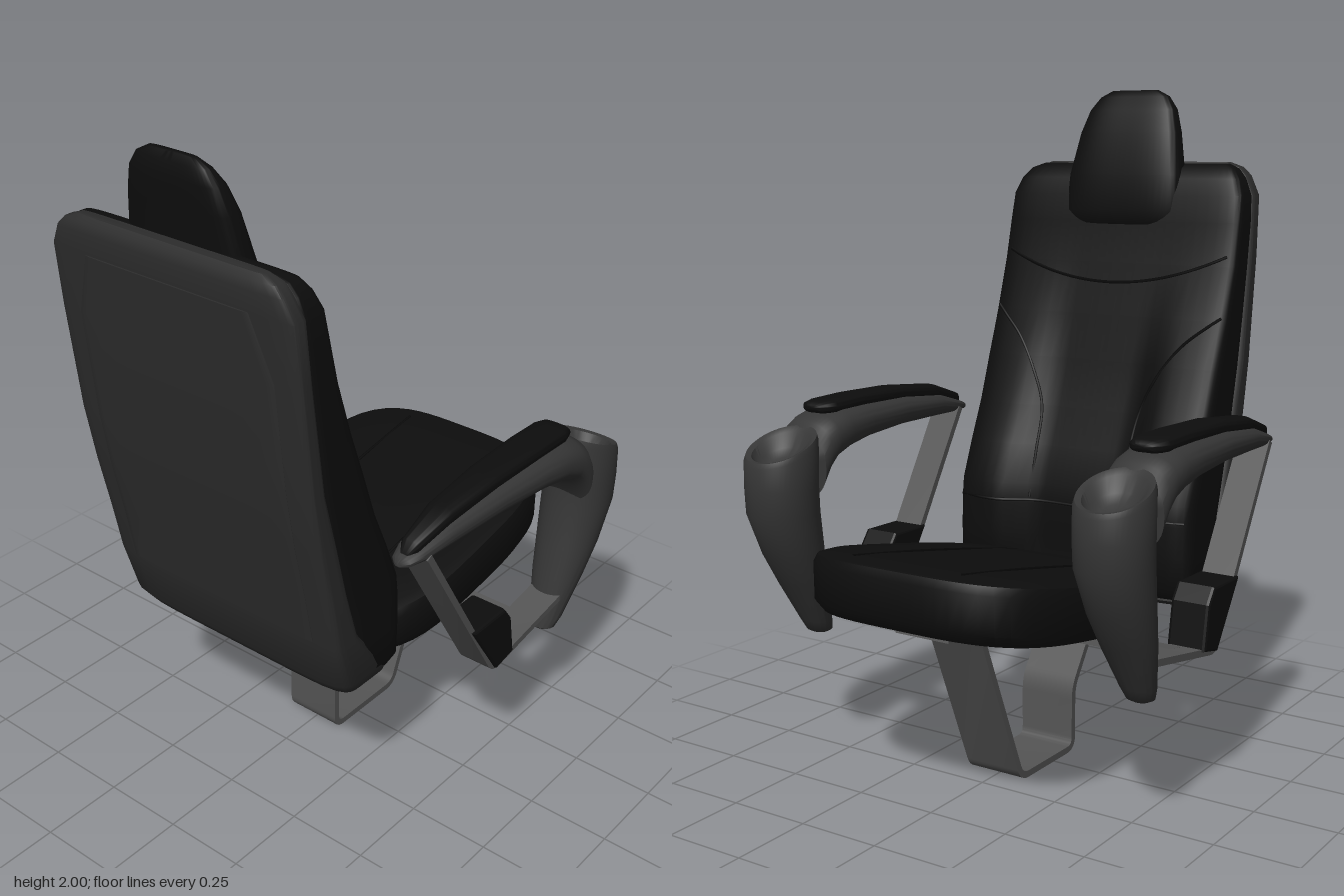
import * as THREE from 'three';
import { toCreasedNormals } from 'three/addons/utils/BufferGeometryUtils.js';

const mat = (color) => new THREE.MeshStandardMaterial({ color });
const fabric = mat(0x0d0d0d), seamMat = mat(0x060606), plastic = mat(0x363636);
const shellMat = mat(0x2c2c2c), metal = mat(0x555555);

// Hollow towards the middle of a section, between the side bolsters
const hollow = (z) => 1 - THREE.MathUtils.smoothstep(Math.abs(z), 0.13, 0.27);

// Skin of rounded sections. Station: [ax, ay, bx, by, half width in z, hollow depth]
function loft(stations, n = 2, seg = 64, crease = 0.7) {
  const pos = [], idx = [];
  stations.forEach(([ax, ay, bx, by, w, dip = 0]) => {
    for (let j = 0; j < seg; j++) {
      const t = (j / seg) * Math.PI * 2, c = Math.cos(t), s = Math.sin(t);
      const r = 1 / (Math.abs(c) ** n + Math.abs(s) ** n) ** (1 / n);
      const k = (1 + r * c) / 2, z = w * r * s;
      pos.push(ax + (bx - ax) * k - (c > 0 ? dip * hollow(z) : 0), ay + (by - ay) * k, z);
    }
  });
  const last = stations.length - 1;
  for (let i = 0; i < last; i++) {
    for (let j = 0; j < seg; j++) {
      const a = i * seg + j, b = i * seg + ((j + 1) % seg);
      idx.push(a, a + seg, b, b, a + seg, b + seg);
    }
  }
  // end caps
  [0, last].forEach((i) => {
    const [ax, ay, bx, by] = stations[i], m = pos.length / 3;
    pos.push((ax + bx) / 2, (ay + by) / 2, 0);
    for (let j = 0; j < seg; j++) {
      const a = i * seg + j, b = i * seg + ((j + 1) % seg);
      if (i) idx.push(m, b, a); else idx.push(m, a, b);
    }
  });
  const g = new THREE.BufferGeometry();
  g.setAttribute('position', new THREE.Float32BufferAttribute(pos, 3));
  g.setIndex(idx);
  return toCreasedNormals(g, crease);
}

// Flat bar bent along a side-view path, with rounded bends
function strap(points, width, thick = 0.02, bend = 0.035) {
  const p = points.map(([x, y]) => new THREE.Vector2(x, y)), path = [p[0]];
  for (let i = 1; i < p.length - 1; i++) {
    const before = p[i - 1].clone().sub(p[i]).setLength(bend).add(p[i]);
    const after = p[i + 1].clone().sub(p[i]).setLength(bend).add(p[i]);
    path.push(...new THREE.QuadraticBezierCurve(before, p[i], after).getPoints(6));
  }
  path.push(p[p.length - 1]);
  const side = (sign) => path.map((q, i) => {
    const d = path[Math.min(i + 1, path.length - 1)].clone().sub(path[Math.max(i - 1, 0)]).normalize();
    return new THREE.Vector2(q.x - d.y * sign * thick / 2, q.y + d.x * sign * thick / 2);
  });
  const shape = new THREE.Shape([...side(1), ...side(-1).reverse()]);
  const g = new THREE.ExtrudeGeometry(shape, { depth: width, bevelEnabled: false });
  return toCreasedNormals(g.translate(0, 0, -width / 2), 0.5);
}

const level = ([y, back, front, w, dip]) => [back, y, front, y, w, dip];

// Backrest levels: [y, back x, front x, half width, hollow depth]
const cushionLevels = [
  [0.49, -0.38, -0.23, 0.40, 0.03], [0.52, -0.40, -0.205, 0.415, 0.06], [0.62, -0.43, -0.20, 0.417, 0.06],
  [0.72, -0.45, -0.20, 0.417, 0.06], [0.78, -0.47, -0.205, 0.417, 0.06], [0.9, -0.50, -0.255, 0.417, 0.05],
  [1.02, -0.53, -0.31, 0.417, 0.04], [1.17, -0.56, -0.365, 0.417, 0.03], [1.31, -0.58, -0.42, 0.417, 0.01],
  [1.47, -0.60, -0.475, 0.417, 0], [1.6, -0.62, -0.505, 0.415, 0], [1.68, -0.63, -0.52, 0.41, 0],
  [1.73, -0.63, -0.54, 0.39, 0], [1.76, -0.63, -0.56, 0.365, 0], [1.775, -0.63, -0.59, 0.33, 0],
];
const shellLevels = [
  [0.465, -0.42, -0.26, 0.37], [0.48, -0.45, -0.24, 0.40], [0.52, -0.48, -0.25, 0.415], [0.68, -0.515, -0.40, 0.42],
  [0.84, -0.545, -0.45, 0.42], [1.0, -0.58, -0.49, 0.42], [1.18, -0.61, -0.54, 0.42], [1.5, -0.645, -0.585, 0.42],
  [1.68, -0.665, -0.60, 0.415], [1.74, -0.67, -0.61, 0.385], [1.765, -0.665, -0.61, 0.36], [1.78, -0.65, -0.62, 0.32],
];

// Point on the front of the backrest cushion
function onCushion([y, z]) {
  const i = Math.max(1, cushionLevels.findIndex((l) => l[0] >= y));
  const a = cushionLevels[i - 1], b = cushionLevels[i], f = (y - a[0]) / (b[0] - a[0]);
  const [, back, front, w, dip] = a.map((v, k) => v + (b[k] - v) * f);
  const bulge = (1 - Math.min(1, Math.abs(z) / w) ** 7) ** (1 / 7);
  return new THREE.Vector3((back + front) / 2 + (front - back) / 2 * bulge - dip * hollow(z), y, z);
}

export function createModel() {
  const chair = new THREE.Group();
  chair.name = 'armchair';
  const add = (name, geometry, material, parent = chair) => {
    const m = new THREE.Mesh(geometry, material);
    m.name = name;
    parent.add(m);
    return m;
  };
  const seam = (name, pts) =>
    add(name, new THREE.TubeGeometry(new THREE.CatmullRomCurve3(pts), 40, 0.005, 6), seamMat);

  // Backrest
  add('backShell', loft(shellLevels.map(level), 7), shellMat);
  add('backCushion', loft(cushionLevels.map(level), 7, 96), fabric);
  const panel = shellLevels.slice(3, 9).map(([y, back], i) => level([y, back - 0.005, back + 0.03, i === 5 ? 0.28 : 0.34]));
  add('backPanel', loft(panel, 10), shellMat);

  // Headrest
  add('headrest', loft([
    [1.57, -0.57, -0.52, 0.15], [1.59, -0.60, -0.50, 0.185], [1.63, -0.61, -0.495, 0.205], [1.74, -0.615, -0.505, 0.197],
    [1.87, -0.63, -0.535, 0.172], [1.94, -0.635, -0.562, 0.15], [1.98, -0.63, -0.585, 0.12], [2.0, -0.62, -0.60, 0.08],
  ].map(level), 3.5, 64, 1.2), fabric);

  // Backrest seams
  const upper = [];
  for (let i = 0; i <= 20; i++) {
    const z = -0.39 + 0.039 * i;
    upper.push(onCushion([1.41 + 0.09 * (z / 0.39) ** 2, z]));
  }
  seam('upperSeam', upper);
  seam('lowerSeam', [-0.4, -0.32, -0.25, -0.2, -0.15, 0, 0.15, 0.2, 0.25, 0.32, 0.4].map((z) => onCushion([0.73, z])));
  for (const s of [-1, 1]) {
    seam('bolsterSeam', [[0.74, 0.165], [0.88, 0.165], [1.02, 0.175], [1.13, 0.22], [1.23, 0.29], [1.29, 0.36], [1.32, 0.4]]
      .map(([y, z]) => onCushion([y, s * z])));
  }

  // Seat
  add('seatCushion', loft([
    [-0.20, 0.425, 0.56, 0.545, 0.34], [-0.235, 0.43, 0.64, 0.565, 0.385], [-0.255, 0.46, 0.668, 0.60, 0.40],
    [-0.255, 0.54, 0.67, 0.71, 0.40], [-0.245, 0.565, 0.66, 0.733, 0.39], [-0.22, 0.575, 0.62, 0.738, 0.365],
    [-0.12, 0.60, 0.50, 0.72, 0.26],
  ], 3.6, 72), fabric);
  for (const s of [-1, 1]) {
    seam('seatSeam', [[-0.2, 0.577], [0, 0.622], [0.3, 0.682], [0.6, 0.734]]
      .map(([x, y]) => new THREE.Vector3(x, y, s * 0.18)));
  }

  // Armrests, one on each side
  for (const s of [-1, 1]) {
    const arm = new THREE.Group();
    arm.name = s > 0 ? 'frontSideArmrest' : 'rearSideArmrest';
    arm.position.z = s * 0.557;
    chair.add(arm);
    add('armBeam', loft([
      [-0.43, 0.98, -0.43, 0.968, 0.012], [-0.415, 0.99, -0.415, 0.964, 0.03], [-0.37, 1.005, -0.37, 0.962, 0.045],
      [-0.26, 1.04, -0.25, 0.964, 0.062], [-0.06, 1.062, -0.05, 0.965, 0.08], [0.14, 1.067, 0.13, 0.953, 0.092],
      [0.25, 1.065, 0.23, 0.935, 0.098], [0.31, 1.05, 0.30, 0.91, 0.1], [0.35, 1.03, 0.34, 0.87, 0.1], [0.375, 1.0, 0.37, 0.81, 0.095],
    ], 2.4, 48, 1), plastic, arm);
    // upright that ends in a dished cup at the top
    add('armUpright', loft([
      [0.285, 0.382, 0.33, 0.382, 0.025], [0.277, 0.39, 0.345, 0.39, 0.04], [0.285, 0.42, 0.365, 0.425, 0.052],
      [0.308, 0.55, 0.445, 0.55, 0.077], [0.33, 0.65, 0.505, 0.65, 0.092], [0.35, 0.78, 0.563, 0.78, 0.104],
      [0.355, 0.86, 0.566, 0.86, 0.106], [0.35, 1.0, 0.566, 0.925, 0.105], [0.355, 1.02, 0.56, 0.94, 0.1],
      [0.375, 1.005, 0.545, 0.94, 0.082], [0.395, 0.96, 0.53, 0.915, 0.065], [0.42, 0.935, 0.51, 0.905, 0.042],
    ], 2.1, 48, 0.8), plastic, arm);
    add('armPad', loft([
      [-0.405, 0.995, -0.405, 0.98, 0.012], [-0.38, 1.025, -0.38, 0.985, 0.028], [-0.25, 1.068, -0.25, 1.02, 0.043],
      [-0.05, 1.088, -0.05, 1.04, 0.052], [0.15, 1.092, 0.15, 1.045, 0.057], [0.27, 1.089, 0.27, 1.045, 0.057],
      [0.305, 1.084, 0.305, 1.05, 0.047], [0.318, 1.075, 0.318, 1.058, 0.03],
    ], 3, 40, 1.2), fabric, arm);
    add('armStrap', strap([[-0.36, 0.98], [-0.03, 0.435], [0.34, 0.5]], 0.1), metal, arm);
    // block in the corner of the strap
    const block = new THREE.Shape([[-0.14, 0.62], [-0.02, 0.445], [0.05, 0.46], [0.03, 0.58], [0, 0.62]]
      .map(([x, y]) => new THREE.Vector2(x, y)));
    add('strapBlock', new THREE.ExtrudeGeometry(block, { depth: 0.1, bevelSize: 0.008, bevelThickness: 0.01, bevelSegments: 2 })
      .translate(0, 0, -0.05), fabric, arm);
  }

  // Bar under the seat joining both arms
  add('crossBar', strap([[0.07, 0.453], [0.2, 0.475]], 1.1), metal);

  // Bent base
  add('base', strap([
    [-0.08, 0.425], [-0.245, 0.398], [-0.11, 0.2], [-0.11, 0.01], [0.175, 0.01], [0.375, 0.495], [0.53, 0.525],
  ], 0.18), metal);

  return chair;
}
